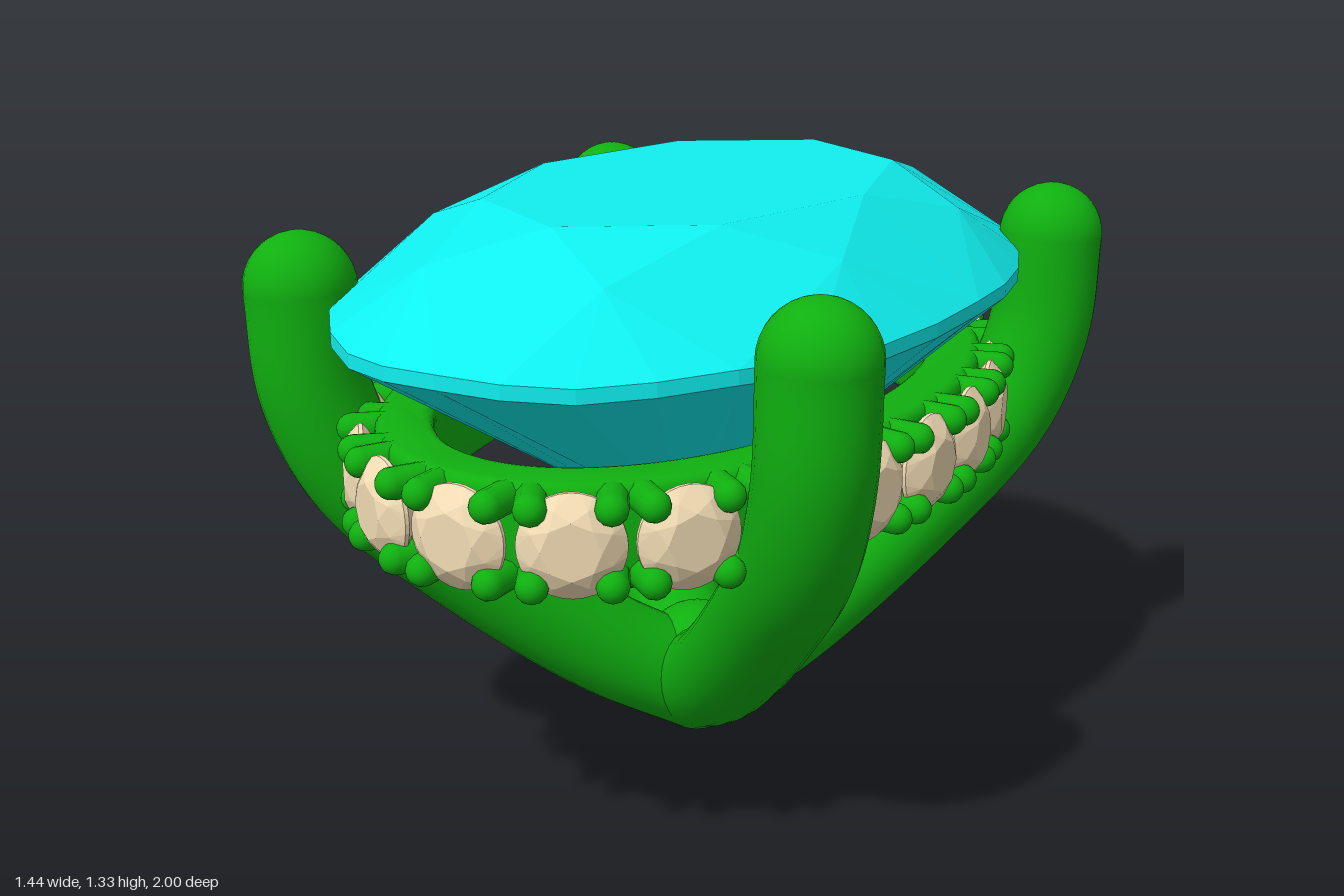
import * as THREE from 'three';
import { toCreasedNormals } from 'three/addons/utils/BufferGeometryUtils.js';

const metal = new THREE.MeshStandardMaterial({ color: 0x10b010 });
const aqua = new THREE.MeshStandardMaterial({ color: 0x10f0f0, flatShading: true });
const cream = new THREE.MeshStandardMaterial({ color: 0xf2dcb4, flatShading: true });

function part(name, geometry, material, parent) {
  const mesh = new THREE.Mesh(geometry, material);
  mesh.name = name;
  parent.add(mesh);
  return mesh;
}

// Round brilliant cut of radius 1 with its lower girdle edge at y = 0.
function brilliant({ table, tip, crown, girdle, depth, tipDepth, wave }) {
  const SEG = 32;
  const pos = [];
  const at = (r, i, y) => {
    const a = (i / SEG) * Math.PI * 2;
    return [r * Math.sin(a), y, r * Math.cos(a)];
  };
  const tri = (a, b, c) => pos.push(...a, ...b, ...c);
  const rim = (i) => wave * Math.cos((i / SEG) * Math.PI * 16);
  const upper = (i) => at(1, i, girdle + rim(i));
  const lower = (i) => at(1, i, rim(i));
  // star tips lie in the plane of the main kite facets
  const slope = (crown - girdle) / (1 - table);
  const tipY = crown - slope * (tip * Math.cos(Math.PI / 8) - table);
  const star = (i) => at(tip, i + 2, tipY);
  const deep = (i) => at(0.2, i + 2, -tipDepth);
  const flat = (i) => at(table, i, crown);
  const culet = [0, -depth, 0];

  for (let i = 0; i < SEG; i += 4) {
    tri([0, crown, 0], flat(i), flat(i + 4));        // table
    tri(flat(i), star(i), flat(i + 4));              // star facet
    tri(flat(i), star(i - 4), upper(i));             // main kite
    tri(flat(i), upper(i), star(i));
    tri(culet, lower(i), deep(i - 4));               // pavilion main
    tri(culet, deep(i), lower(i));
    for (let j = i; j < i + 4; j++) {
      tri(upper(j), upper(j + 1), star(i));          // upper girdle facets
      tri(lower(j), lower(j + 1), upper(j + 1));     // girdle
      tri(lower(j), upper(j + 1), upper(j));
      tri(deep(i), lower(j + 1), lower(j));          // lower girdle facets
    }
  }
  const geo = new THREE.BufferGeometry();
  geo.setAttribute('position', new THREE.Float32BufferAttribute(pos, 3));
  geo.computeVertexNormals();
  return geo;
}

function addCentreStone(root) {
  const geo = brilliant({
    table: 0.6, tip: 0.8, crown: 0.235, girdle: 0.03, depth: 0.58, tipDepth: 0.485, wave: 0.006,
  });
  geo.scale(0.667, 1, 1);
  part('centreStone', geo, aqua, root).position.y = 1.09;
}

// Four prongs rising from a common foot
function addProngs(root) {
  const profile = [[0, 0.12], [0.16, 0.25], [0.39, 0.515], [0.53, 0.72], [0.59, 0.92], [0.602, 1.145]];
  const R = 0.12;
  const prongs = new THREE.Group();
  prongs.name = 'prongs';
  root.add(prongs);
  for (const sx of [-1, 1]) {
    for (const sz of [-1, 1]) {
      const points = profile.map(([x, y]) => new THREE.Vector3(sx * x, y, sz * x * 1.058));
      const curve = new THREE.CatmullRomCurve3(points);
      part('prong', new THREE.TubeGeometry(curve, 48, R, 28), metal, prongs);
      part('prongTip', new THREE.SphereGeometry(R, 28, 18), metal, prongs).position.copy(points.at(-1));
    }
  }
  part('foot', new THREE.SphereGeometry(R, 28, 18), metal, prongs).position.y = 0.12;
  part('footJoint', new THREE.SphereGeometry(0.135, 28, 18), metal, prongs).position.y = 0.18;
}

// Oval band carrying a row of small stones held by beads
function addHalo(root) {
  const halo = new THREE.Group();
  halo.name = 'halo';
  halo.position.y = 0.795;
  root.add(halo);

  const bevel = 0.025;
  const shape = new THREE.Shape().absellipse(0, 0, 0.585 - bevel, 0.915 - bevel, 0, Math.PI * 2);
  shape.holes.push(new THREE.Path().absellipse(0, 0, 0.46 + bevel, 0.79 + bevel, 0, Math.PI * 2));
  const height = 0.22;
  let band = new THREE.ExtrudeGeometry(shape, {
    depth: height - 2 * bevel, bevelEnabled: true, bevelSize: bevel, bevelThickness: bevel,
    bevelSegments: 4, curveSegments: 72,
  });
  band.translate(0, 0, -(height / 2 - bevel));
  band.rotateX(Math.PI / 2);
  band = toCreasedNormals(band, 0.6);
  part('haloBand', band, metal, halo);

  const stone = brilliant({
    table: 0.55, tip: 0.78, crown: 0.42, girdle: 0.08, depth: 0.75, tipDepth: 0.62, wave: 0,
  });
  stone.scale(0.106, 0.106, 0.106);
  stone.rotateX(Math.PI / 2);
  const bead = new THREE.CapsuleGeometry(0.033, 0.07, 6, 12);
  bead.rotateX(Math.PI / 2);

  const COUNT = 22, a = 0.61, b = 0.94;
  const path = new THREE.EllipseCurve(0, 0, a, b, Math.PI / 2, Math.PI * 2.5);
  for (const p of path.getSpacedPoints(COUNT).slice(0, COUNT)) {
    const setting = new THREE.Group();
    setting.name = 'stoneSetting';
    setting.position.set(p.x, 0, p.y);
    setting.rotation.y = Math.atan2(p.x / (a * a), p.y / (b * b));
    halo.add(setting);
    part('smallStone', stone, cream, setting);
    for (const sx of [-1, 1]) {
      for (const sy of [-1, 1]) {
        part('bead', bead, metal, setting).position.set(sx * 0.076, sy * 0.077, -0.015);
      }
    }
  }
}

export function createModel() {
  const root = new THREE.Group();
  root.name = 'gemSetting';
  addCentreStone(root);
  addProngs(root);
  addHalo(root);
  return root;
}
